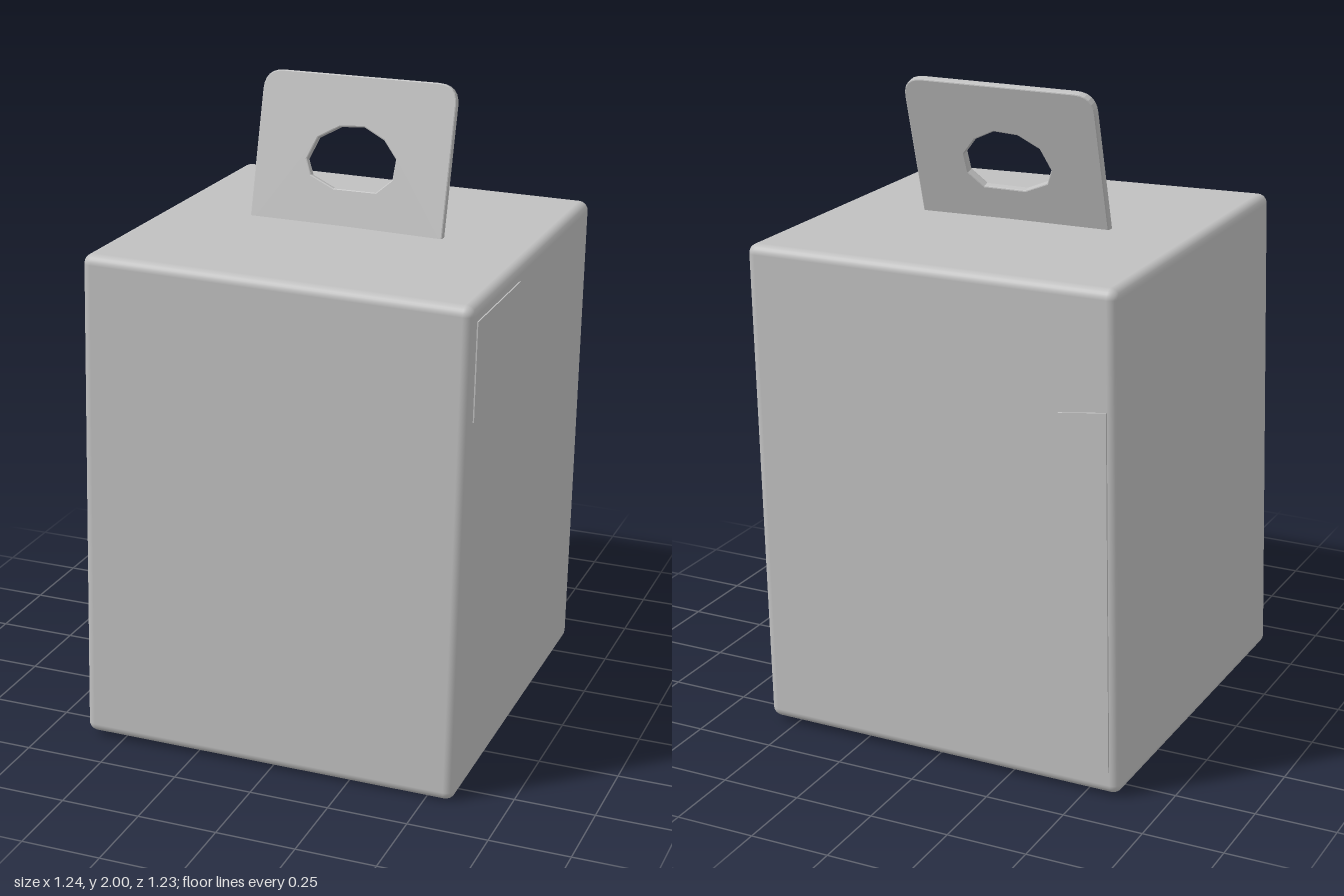
import * as THREE from 'three';
import { RoundedBoxGeometry } from 'three/addons/geometries/RoundedBoxGeometry.js';

// corners of the leaning carton, ordered x fastest, then y, then z
const CORNERS = [
  [-0.61, 0.01, -0.6], [0.585, 0.015, -0.6], [-0.585, 1.56, -0.612], [0.61, 1.55, -0.605],
  [-0.62, 0.015, 0.612], [0.585, 0.0, 0.592], [-0.588, 1.57, 0.585], [0.615, 1.545, 0.575],
].map((c) => new THREE.Vector3(...c));

// maps u, v, w in 0..1 into the carton
function inCarton(u, v, w) {
  const p = new THREE.Vector3();
  CORNERS.forEach((c, i) => {
    const k = (i & 1 ? u : 1 - u) * (i & 2 ? v : 1 - v) * (i & 4 ? w : 1 - w);
    p.addScaledVector(c, k);
  });
  return p;
}

// bends a unit-space geometry into the carton's shape
function bendToCarton(geometry) {
  const pos = geometry.attributes.position;
  for (let i = 0; i < pos.count; i++) {
    const p = inCarton(pos.getX(i) / 1.2 + 0.5, pos.getY(i) / 1.55 + 0.5, pos.getZ(i) / 1.2 + 0.5);
    pos.setXYZ(i, p.x, p.y, p.z);
  }
  return geometry;
}

// rounded rectangle standing on y = 0 with an oval finger hole
function handleShape(w, h, r) {
  const s = new THREE.Shape();
  s.moveTo(-w / 2, 0);
  s.lineTo(w / 2, 0);
  s.lineTo(w / 2, h - r);
  s.quadraticCurveTo(w / 2, h, w / 2 - r, h);
  s.lineTo(-w / 2 + r, h);
  s.quadraticCurveTo(-w / 2, h, -w / 2, h - r);
  s.closePath();
  const hole = [[-0.15, 0.21], [-0.13, 0.16], [-0.05, 0.125], [0.09, 0.125], [0.14, 0.17],
    [0.145, 0.235], [0.1, 0.29], [0.03, 0.325], [-0.05, 0.32], [-0.12, 0.28]];
  s.holes.push(new THREE.Path(hole.map(([x, y]) => new THREE.Vector2(x, y))));
  return s;
}

export function createModel() {
  const model = new THREE.Group();
  const card = new THREE.MeshStandardMaterial({ color: 0xc0c0c0 });
  card.name = 'plain card';
  const add = (name, geometry) => {
    const mesh = new THREE.Mesh(geometry, card);
    mesh.name = name;
    model.add(mesh);
    return mesh;
  };

  // carton body
  add('carton', bendToCarton(new RoundedBoxGeometry(1.2, 1.55, 1.2, 3, 0.03)));

  // overlapping flap on the right-hand side
  const sideFlap = new THREE.BoxGeometry(0.008, 0.3, 0.4);
  sideFlap.translate(0.6, 0.575, 0.36);
  add('sideFlap', bendToCarton(sideFlap));

  // tapered glue flap along one back edge
  const flap = new THREE.Shape([[-0.57, 0.42], [-0.57, -0.7], [-0.42, 0.4]].map(([x, y]) => new THREE.Vector2(x, y)));
  const glueFlap = new THREE.ExtrudeGeometry(flap, { depth: 0.008, bevelEnabled: false });
  glueFlap.translate(0, 0, -0.606);
  add('glueFlap', bendToCarton(glueFlap));

  // handle tab, leaning backwards out of the lid
  const tab = new THREE.ExtrudeGeometry(handleShape(0.62, 0.47, 0.06), {
    depth: 0.016, bevelEnabled: true, bevelThickness: 0.005, bevelSize: 0.004, bevelSegments: 2, curveSegments: 6,
  });
  tab.translate(0, 0, -0.008);
  const handle = add('handle', tab);
  handle.position.set(0.007, 1.54, -0.012);
  handle.rotation.x = -0.285;

  return model;
}
